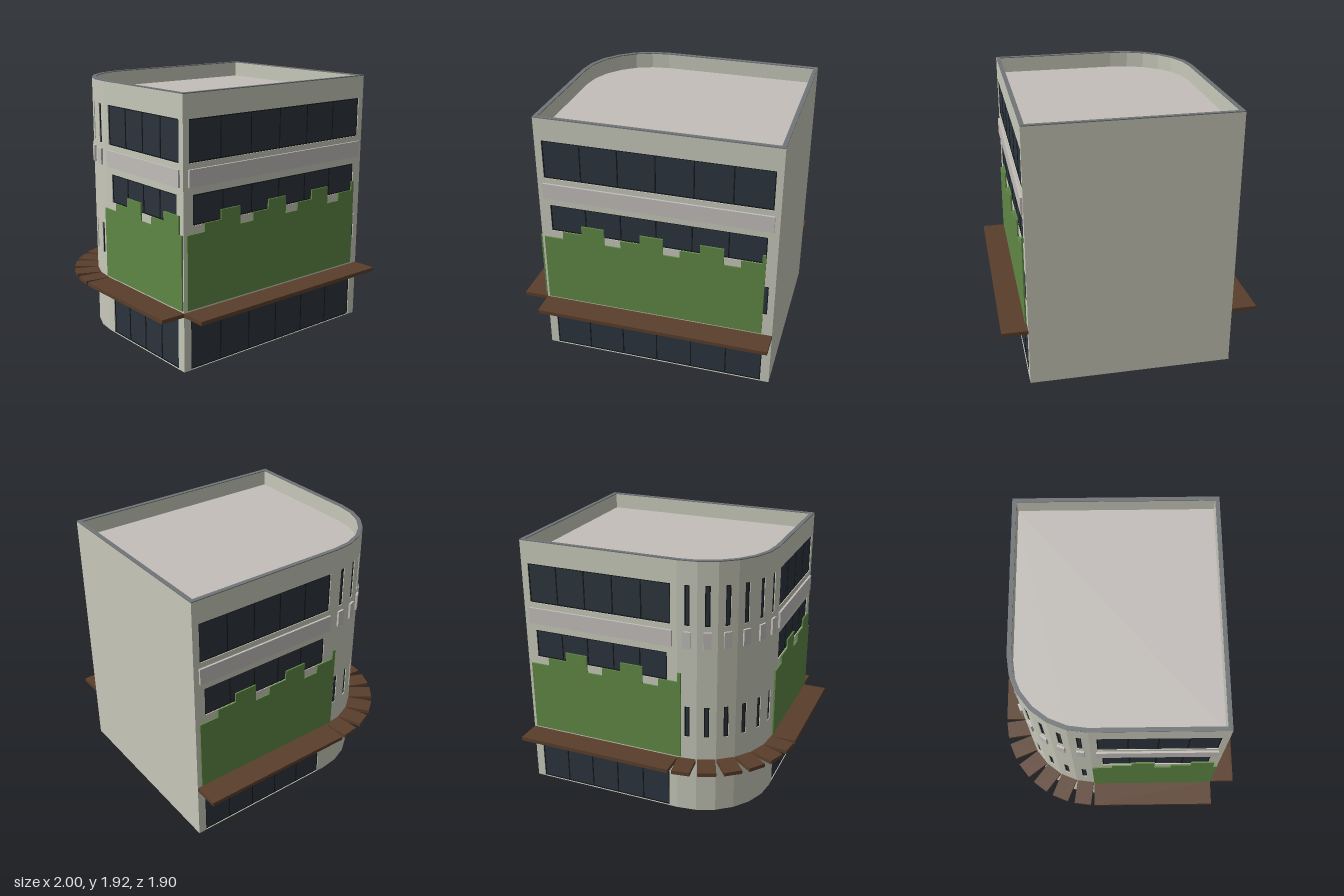
import * as THREE from 'three';

const mat = (name, color) => Object.assign(new THREE.MeshStandardMaterial({ color }), { name });
const wallMat = mat('wall plaster', 0xc8c9ba);
const glassMat = mat('dark glass', 0x2c343d);
const frameMat = mat('window frame', 0x14181c);
const greenMat = mat('planting green', 0x5f8845);
const woodMat = mat('canopy brown', 0x5a3e2b);
const bandMat = mat('pale grey', 0xc3beba);
const copingMat = mat('coping grey', 0x707477);

// Plan: a rectangle with its back left corner rounded
const X0 = -0.778, X1 = 0.948, Z0 = -0.757, Z1 = 0.714;
const R = 0.538, CX = X0 + R, CZ = Z0 + R;
const H = 1.92, T = 0.03, FACETS = 6, STEP = Math.PI / 2 / FACETS;

function add(parent, name, geo, material) {
  const m = new THREE.Mesh(geo, material);
  m.name = name;
  parent.add(m);
  return m;
}

// Box given by its limits
function box(parent, name, material, xa, xb, ya, yb, za, zb) {
  const m = add(parent, name, new THREE.BoxGeometry(xb - xa, yb - ya, zb - za), material);
  m.position.set((xa + xb) / 2, (ya + yb) / 2, (za + zb) / 2);
}

function rectPath(xa, xb, ya, yb, PathType) {
  const p = new PathType();
  p.moveTo(xa, ya);
  p.lineTo(xb, ya);
  p.lineTo(xb, yb);
  p.lineTo(xa, yb);
  p.closePath();
  return p;
}

// Recessed glass with thin frame and mullions
function glazing(parent, [xa, xb, ya, yb], panes) {
  box(parent, 'glass', glassMat, xa, xb, ya, yb, -0.018, -0.01);
  const f = 0.004;
  for (let i = 0; i <= panes; i++) {
    const x = xa + f + (xb - xa - 2 * f) * i / panes;
    box(parent, 'mullion', frameMat, x - f, x + f, ya, yb, -0.02, -0.006);
  }
  for (const y of [ya + f, yb - f]) box(parent, 'frameRail', frameMat, xa, xb, y - f, y + f, -0.02, -0.006);
}

// Wall panel: x runs rightward as seen from outside, z points outward
function wall(parent, name, x, z, angle, length, windows = [], panes = 1) {
  const g = new THREE.Group();
  g.name = name;
  g.position.set(x, 0, z);
  g.rotation.y = angle;
  parent.add(g);
  const shape = rectPath(0, length, 0, H - 0.006, THREE.Shape);
  for (const w of windows) shape.holes.push(rectPath(...w, THREE.Path));
  const geo = new THREE.ExtrudeGeometry(shape, { depth: T, bevelEnabled: false });
  geo.translate(0, 0, -T);
  add(g, 'wallPanel', geo, wallMat);
  for (const w of windows) glazing(g, w, panes);
  return g;
}

// Green screen with a repeating stepped top
function greenScreen(parent, start, end) {
  const shape = new THREE.Shape();
  shape.moveTo(start, 0.45);
  const steps = [[0.146, 0.98], [0.145, 1.04], [0.17, 1.11]];
  let x = start;
  for (let i = 0; x < end - 0.001; i++) {
    const [w, y] = steps[i % 3];
    shape.lineTo(x, y);
    x = Math.min(end, x + (i > 0 && i % 3 === 0 ? 0.122 : w));
    shape.lineTo(x, y);
  }
  shape.lineTo(end, 0.45);
  shape.closePath();
  const geo = new THREE.ExtrudeGeometry(shape, { depth: 0.011, bevelEnabled: false });
  geo.translate(0, 0, 0.003);
  add(parent, 'greenScreen', geo, greenMat);
}

function canopy(parent, xa, xb) {
  box(parent, 'canopy', woodMat, xa, xb, 0.405, 0.433, 0, 0.185);
}

// A full street wall: four storeys of glazing, band, canopy and green screen
function facade(parent, name, x, z, angle, length, panes, screenStart, screenEnd) {
  const g = wall(parent, name, x, z, angle, length, [
    [0.06, length - 0.065, 0.004, 0.402],
    [0.05, length - 0.047, 0.61, 0.85],
    [0.08, length - 0.075, 1.035, 1.247],
    [0.05, length - 0.047, 1.46, 1.75],
  ], panes);
  box(g, 'spandrelBand', bandMat, 0.04, length - 0.036, 1.3, 1.42, 0, 0.015);
  canopy(g, 0, length);
  greenScreen(g, screenStart, screenEnd);
}

// Plan outline moved inward; shape y is -z
function outline(inset, PathType) {
  const p = new PathType(), r = R - inset;
  p.moveTo(X0 + inset, -(Z1 - inset));
  p.lineTo(X1 - inset, -(Z1 - inset));
  p.lineTo(X1 - inset, -(Z0 + inset));
  for (let i = 0; i <= FACETS; i++) {
    const a = Math.PI / 2 + i * STEP;
    p.lineTo(CX + r * Math.cos(a), -CZ + r * Math.sin(a));
  }
  p.closePath();
  return p;
}

function slab(parent, name, shape, y, thickness, material) {
  const geo = new THREE.ExtrudeGeometry(shape, { depth: thickness, bevelEnabled: false });
  geo.rotateX(-Math.PI / 2);
  add(parent, name, geo, material).position.y = y;
}

export function createModel() {
  const model = new THREE.Group();
  model.name = 'cornerBuilding';
  const b = new THREE.Group();
  b.name = 'building';
  b.rotation.y = -0.0545;
  model.add(b);

  // Straight walls
  const w = X1 - X0, back = X1 - CX, side = Z1 - CZ;
  facade(b, 'frontWall', X0, Z1, 0, w, 6, 0.023, w - 0.076);
  facade(b, 'backWall', X1, Z0, Math.PI, back, 5, 0.03, back + 0.03);
  facade(b, 'glazedSideWall', X0, CZ, -Math.PI / 2, side, 4, 0, side - 0.005);
  wall(b, 'blankSideWall', X1, Z1, Math.PI / 2, Z1 - Z0);

  // Rounded corner of flat facets with slot windows
  const chord = 2 * R * Math.sin(STEP / 2), apothem = R * Math.cos(STEP / 2), mid = chord / 2;
  for (let i = 0; i < FACETS; i++) {
    const a = -Math.PI / 2 - (i + 0.5) * STEP;
    const x = CX + Math.sin(a) * apothem - Math.cos(a) * mid;
    const z = CZ + Math.cos(a) * apothem + Math.sin(a) * mid;
    const g = wall(b, 'cornerFacet', x, z, a, chord, [
      [mid - 0.018, mid + 0.018, 0.61, 0.85],
      [mid - 0.018, mid + 0.018, 1.46, 1.75],
    ]);
    box(g, 'cornerBandBlock', bandMat, mid - 0.028, mid + 0.028, 1.3, 1.42, 0, 0.015);
    canopy(g, mid - 0.066, mid + 0.066);
  }

  // Roof deck and parapet coping
  slab(b, 'roofDeck', outline(0.02, THREE.Shape), 1.78, 0.02, bandMat);
  const ring = outline(0, THREE.Shape);
  ring.holes.push(outline(T, THREE.Path));
  slab(b, 'parapetCoping', ring, H - 0.006, 0.006, copingMat);

  return model;
}
